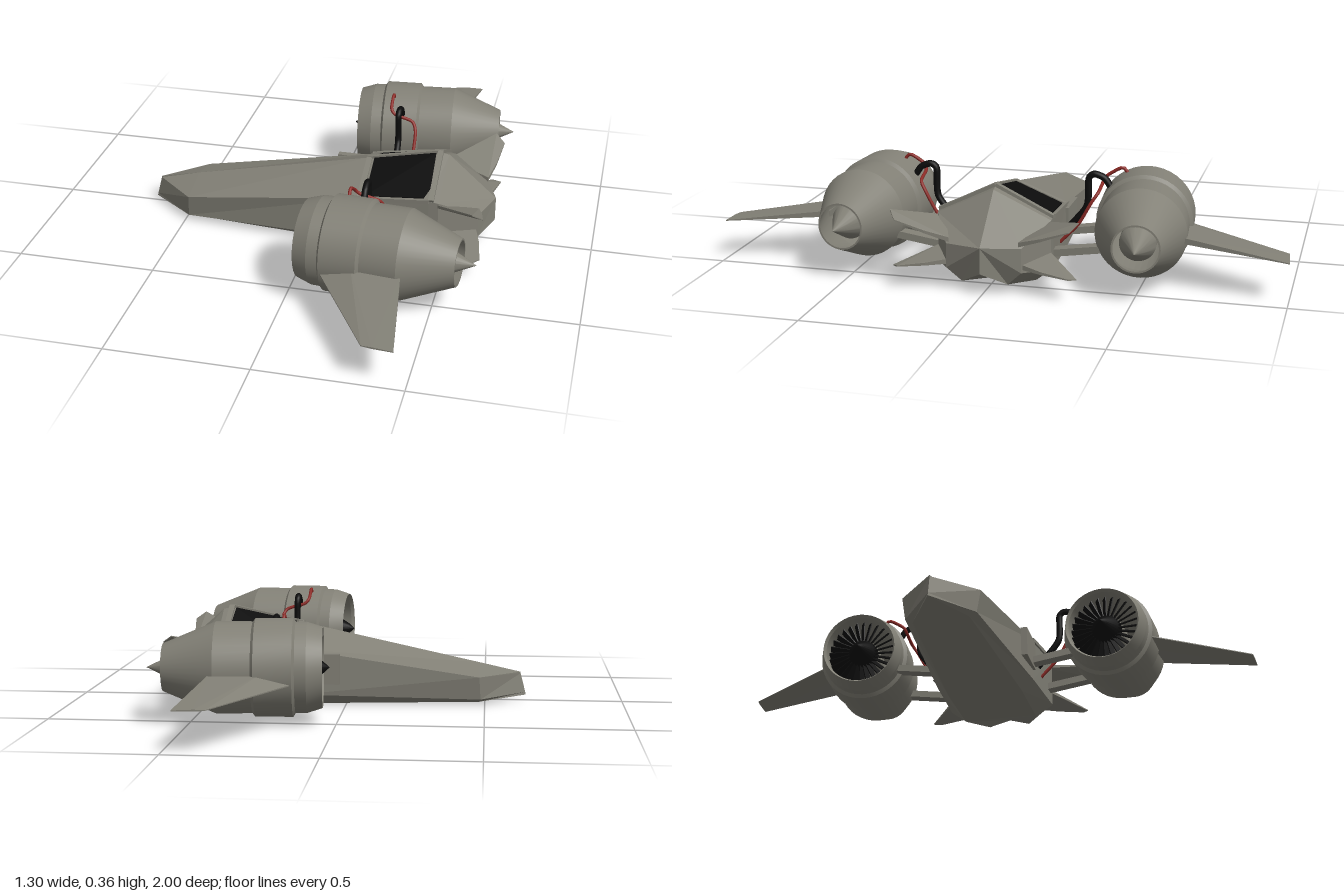
import * as THREE from 'three';
import { toCreasedNormals } from 'three/addons/utils/BufferGeometryUtils.js';
import { ConvexGeometry } from 'three/addons/geometries/ConvexGeometry.js';

function makeMaterial(name, color, side = THREE.FrontSide) {
  const m = new THREE.MeshStandardMaterial({ color, side });
  m.name = name;
  return m;
}

export function createModel() {
  const grey = makeMaterial('hullGrey', 0x828076, THREE.DoubleSide);
  const black = makeMaterial('black', 0x0c0c0c, THREE.DoubleSide);
  const red = makeMaterial('hoseRed', 0x8c2a26);
  const model = new THREE.Group();
  model.name = 'twinEngineShip';
  const V = (x, y, z) => new THREE.Vector3(x, y, z);

  function add(parent, name, geometry, material) {
    const mesh = new THREE.Mesh(geometry, material);
    mesh.name = name;
    parent.add(mesh);
    return mesh;
  }
  // Square bar between two points
  function beam(name, a, b, w, h) {
    const mesh = add(model, name, new THREE.BoxGeometry(w, h, a.distanceTo(b)), grey);
    mesh.position.copy(a).add(b).multiplyScalar(0.5);
    mesh.lookAt(b);
  }
  // Tapered plate through corner points [x, y, z, thickness]
  function plate(name, corners, side) {
    const pts = corners.flatMap(([x, y, z, t]) => [V(x, y + t / 2, z * side), V(x, y - t / 2, z * side)]);
    add(model, name, new ConvexGeometry(pts), grey);
  }
  // Turned part along the x axis, profile as [radius, x]
  function turned(parent, name, profile, material, sides = 40) {
    const g = new THREE.LatheGeometry(profile.map(([r, x]) => new THREE.Vector2(r, x)), sides);
    g.rotateZ(-Math.PI / 2);
    return add(parent, name, toCreasedNormals(g, 0.3), material);
  }
  function hose(name, points, side, radius, material) {
    const curve = new THREE.CatmullRomCurve3(points.map(([x, y, z]) => V(x, y, z * side)), false, 'catmullrom', 0.35);
    add(model, name, new THREE.TubeGeometry(curve, 40, radius, 10), material);
  }

  // Fuselage: half sections of ridge, chine, low chine, floor edge, floor centre
  const sections = [
    [[-0.63, 0.105, 0], [-0.63, 0.1, 0], [-0.648, 0.03, 0], [-0.65, 0.02, 0], [-0.65, 0.02, 0]],
    [[-0.48, 0.138, 0], [-0.48, 0.105, 0.138], [-0.485, 0.022, 0.125], [-0.48, 0.009, 0.1], [-0.48, 0.009, 0]],
    [[0.17, 0.278, 0], [0.17, 0.205, 0.182], [0.17, 0.04, 0.185], [0.17, 0, 0.14], [0.17, 0, 0]],
    [[0.43, 0.333, 0], [0.43, 0.235, 0.2], [0.43, 0.05, 0.2], [0.42, 0, 0.14], [0.42, 0, 0]],
    [[0.47, 0.325, 0], [0.465, 0.23, 0.2], [0.465, 0.055, 0.2], [0.44, 0.005, 0.14], [0.44, 0.005, 0]],
    [[0.645, 0.17, 0], [0.6, 0.165, 0.13], [0.6, 0.08, 0.13], [0.585, 0.032, 0.08], [0.645, 0.08, 0]],
  ];
  const rings = sections.map((s) => [...s, ...[3, 2, 1].map((i) => [s[i][0], s[i][1], -s[i][2]])]);
  const verts = [];
  for (let i = 0; i < rings.length - 1; i++) {
    for (let j = 0; j < 8; j++) {
      const k = (j + 1) % 8;
      const a = rings[i][j], b = rings[i][k], c = rings[i + 1][j], d = rings[i + 1][k];
      verts.push(...b, ...d, ...c, ...b, ...c, ...a);
    }
  }
  const tail = rings[rings.length - 1];
  for (let j = 1; j < 7; j++) verts.push(...tail[0], ...tail[j], ...tail[j + 1]);
  const hull = new THREE.BufferGeometry();
  hull.setAttribute('position', new THREE.Float32BufferAttribute(verts, 3));
  hull.computeVertexNormals();
  add(model, 'fuselage', hull, grey);

  // Point on the sloping canopy roof, u towards the tail, v away from the ridge
  const roof = (u, v, side, lift) => {
    const top = V(0.17, 0.278, 0).lerp(V(0.43, 0.333, 0), u);
    const edge = V(0.17, 0.205, 0.182).lerp(V(0.43, 0.235, 0.2), u);
    const p = top.lerp(edge, v);
    return V(p.x, p.y + lift, p.z * side);
  };
  beam('canopyRidge', roof(0, 0, 1, 0), roof(1, 0, 1, 0), 0.014, 0.014);

  for (const side of [1, -1]) {
    // Canopy glass and frame
    const glass = [[0.1, 0.04], [0.97, 0.04], [0.99, 0.75], [0.92, 0.95], [0.1, 0.95]];
    add(model, 'canopyGlass', new ConvexGeometry(
      glass.flatMap(([u, v]) => [roof(u, v, side, 0.004), roof(u, v, side, -0.004)])), black);
    for (const u of [0.03, 1.03]) beam('canopyArch', roof(u, 0, side, 0), roof(u, 1, side, 0), 0.02, 0.014);
    beam('canopySill', roof(0, 1, side, 0), roof(1, 1, side, 0), 0.014, 0.014);

    // Raised side panel
    const panel = add(model, 'sidePanel', new THREE.BoxGeometry(0.15, 0.11, 0.024), grey);
    panel.position.set(0.095, 0.135, side * 0.181);

    // Engine, toed outwards at the rear
    const engine = new THREE.Group();
    engine.name = 'engine';
    engine.position.set(0.33, 0.19, side * 0.49);
    engine.rotation.y = -0.083 * side;
    model.add(engine);
    turned(engine, 'engineCowl', [
      [0.13, -0.27], [0.138, -0.283], [0.155, -0.23], [0.157, 0.08], [0.082, 0.26],
      [0.076, 0.26], [0.13, 0.08], [0.128, -0.2], [0.13, -0.27],
    ], grey);
    turned(engine, 'engineBand', [[0.154, -0.192], [0.168, -0.183], [0.168, -0.055], [0.154, -0.044]], grey);
    turned(engine, 'engineCore', [[0, -0.2], [0.062, -0.2], [0.062, 0.19], [0.028, 0.26], [0, 0.318]], grey);
    turned(engine, 'intakeSpinner', [[0, -0.306], [0.02, -0.284], [0.055, -0.225], [0.058, -0.2], [0, -0.2]], black, 24);
    for (let i = 0; i < 28; i++) {
      const g = new THREE.BoxGeometry(0.026, 0.082, 0.004);
      g.rotateY(0.6);
      g.translate(-0.22, 0.09, 0);
      g.rotateX((i / 28) * Math.PI * 2);
      add(engine, 'fanBlade', g, black);
    }

    // Outer wing
    plate('wing', [
      [0.13, 0.157, 0.62, 0.004], [0.24, 0.171, 0.62, 0.036], [0.41, 0.178, 0.62, 0.022],
      [0.355, 0.14, 0.99, 0.003], [0.39, 0.14, 0.994, 0.006], [0.46, 0.139, 1, 0.003],
    ], side);

    // Tail fins, upper and lower
    plate('upperTailFin', [
      [0.44, 0.21, 0.18, 0.012], [0.6, 0.178, 0.12, 0.016], [0.62, 0.205, 0.2, 0.01],
      [0.635, 0.243, 0.3, 0.004], [0.6, 0.268, 0.325, 0.004],
    ], side);
    plate('lowerTailFin', [
      [0.44, 0.115, 0.18, 0.014], [0.59, 0.1, 0.12, 0.018], [0.615, 0.09, 0.2, 0.01],
      [0.63, 0.08, 0.295, 0.004], [0.6, 0.073, 0.318, 0.004],
    ], side);

    // Engine struts
    beam('frontStrut', V(0.147, 0.1, side * 0.17), V(0.147, 0.13, side * 0.37), 0.045, 0.025);
    beam('rearStrut', V(0.408, 0.1, side * 0.18), V(0.408, 0.13, side * 0.38), 0.045, 0.025);

    // Hoses between hull and engine
    hose('blackHose', [[0.23, 0.29, 0.36], [0.23, 0.325, 0.335], [0.23, 0.338, 0.3],
      [0.23, 0.32, 0.278], [0.232, 0.22, 0.272], [0.235, 0.12, 0.19]], side, 0.012, black);
    hose('redHose', [[0.19, 0.33, 0.415], [0.19, 0.357, 0.39], [0.192, 0.325, 0.335], [0.21, 0.305, 0.325],
      [0.275, 0.285, 0.322], [0.293, 0.25, 0.3], [0.292, 0.17, 0.255], [0.29, 0.1, 0.19]], side, 0.006, red);
  }
  return model;
}
